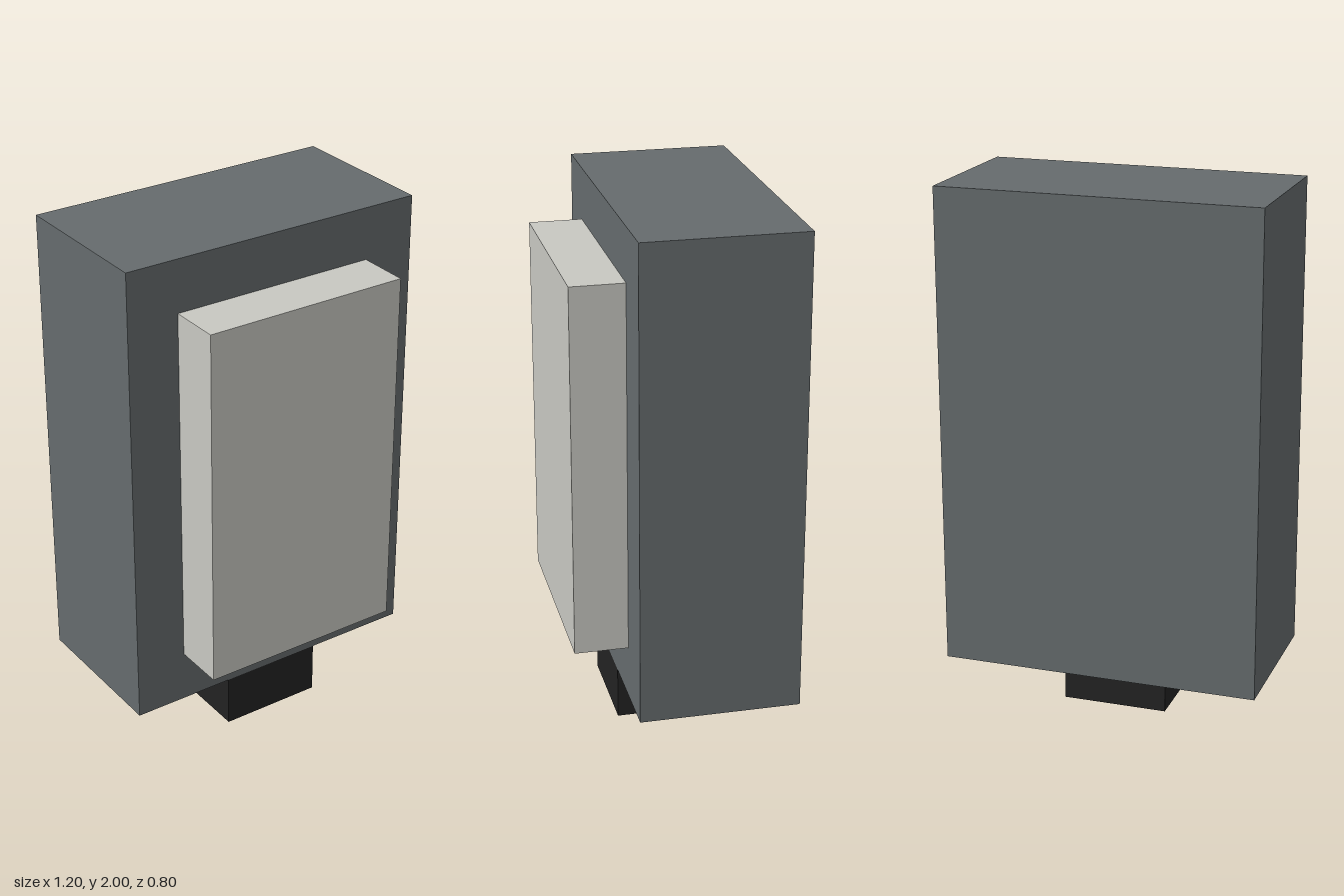
import * as THREE from 'three';

function material(name, color, options = {}) {
  const m = new THREE.MeshStandardMaterial({ color, ...options });
  m.name = name;
  return m;
}

export function createModel() {
  const group = new THREE.Group();
  const slate = material('slate grey', 0x656b6d);
  const pale = material('pale grey', 0xc8c8c2);
  const black = material('black', 0x222222, { flatShading: true, side: THREE.DoubleSide });

  function add(name, geometry, mat, x, y, z) {
    const mesh = new THREE.Mesh(geometry, mat);
    mesh.name = name;
    mesh.position.set(x, y, z);
    group.add(mesh);
  }

  // Main housing
  add('housing', new THREE.BoxGeometry(1.2, 1.8, 0.6), slate, 0, 1.1, -0.1);

  // Raised panel on the front
  add('frontPanel', new THREE.BoxGeometry(0.8, 1.4, 0.2), pale, 0, 1.1, 0.3);

  // Square socket under the housing: four thin walls, open at the bottom
  const radius = 0.2 * Math.SQRT2;
  const socket = new THREE.CylinderGeometry(radius, radius, 0.2, 4, 1, true, Math.PI / 4);
  add('socket', socket, black, 0, 0.1, 0);

  return group;
}
